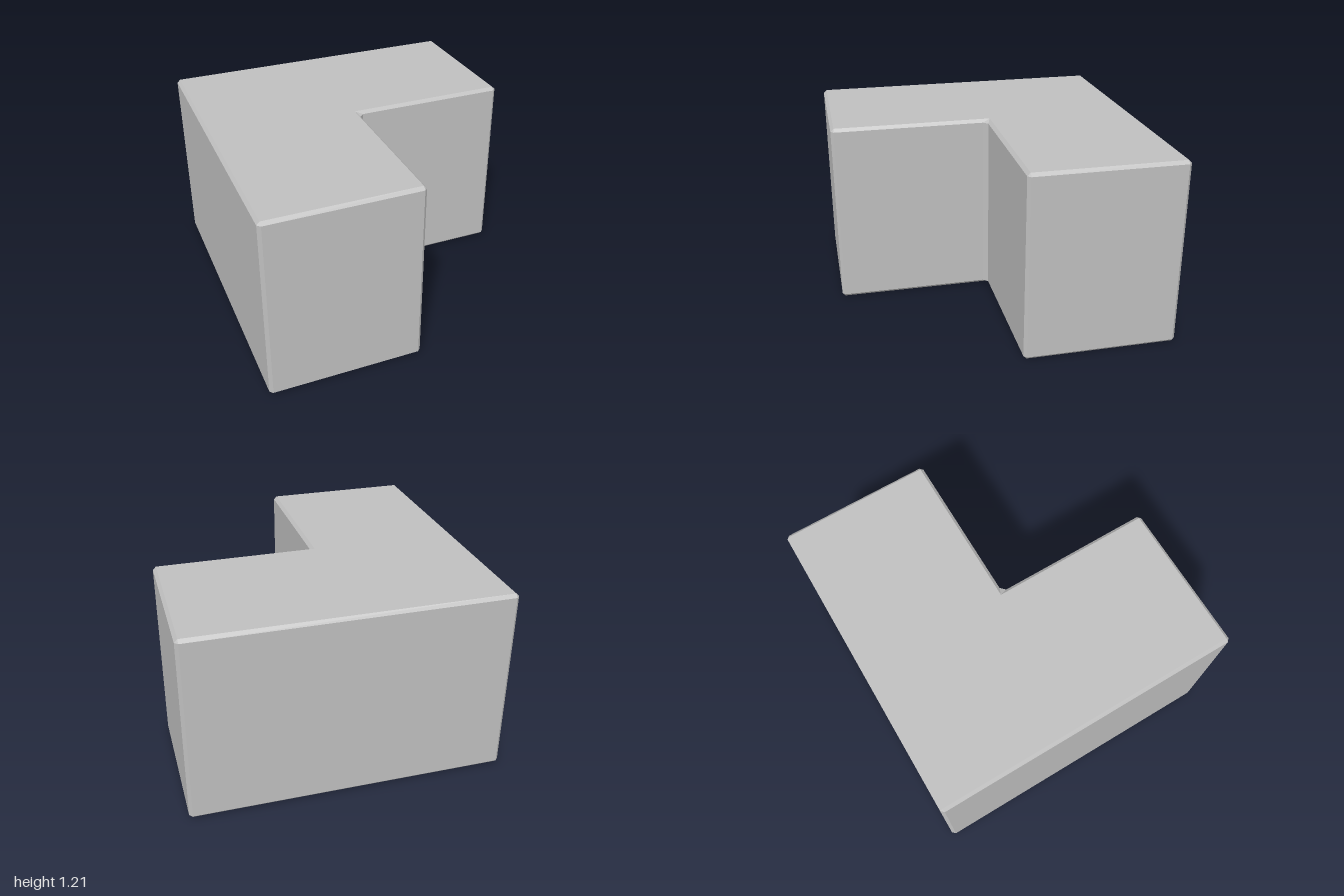
import * as THREE from 'three';

const HEIGHT = 1.21, BEVEL = 0.02, CEILING = 1.1;

// L-shaped outline running counterclockwise seen from above, as [x, z]
const outline = (min, notch, max) => [
  [min, min], [min, max], [notch, max], [notch, notch], [max, notch], [max, min],
];

// Outline with each corner cut into two points
function cutCorners(points) {
  const n = points.length;
  return points.flatMap((p, i) => {
    const cut = i === 3 ? 0.03 : BEVEL; // the inner corner is filled a little wider
    return [points[(i + n - 1) % n], points[(i + 1) % n]].map((q) => {
      const length = Math.hypot(q[0] - p[0], q[1] - p[1]);
      return [0, 1].map((k) => p[k] + ((q[k] - p[k]) * cut) / length);
    });
  });
}

// Faceted skin joining rings of equal point count
function skin(rings) {
  const pos = [];
  const tri = (...corners) => {
    const [a, b, c] = corners.map((v) => new THREE.Vector3(...v));
    if (new THREE.Triangle(a, b, c).getArea() > 1e-8) corners.forEach((v) => pos.push(...v));
  };
  for (let r = 0; r + 1 < rings.length; r++) {
    const [lo, hi] = [rings[r], rings[r + 1]].map(({ points, y }) => points.map(([x, z]) => [x, y, z]));
    lo.forEach((a, i) => {
      const j = (i + 1) % lo.length;
      tri(a, lo[j], hi[j]);
      tri(a, hi[j], hi[i]);
    });
  }
  const geometry = new THREE.BufferGeometry();
  geometry.setAttribute('position', new THREE.Float32BufferAttribute(pos, 3));
  geometry.computeVertexNormals();
  return geometry;
}

// Flat L-shaped sheet facing up (side 1) or down (side -1)
function sheet(points, y, side) {
  const shape = new THREE.Shape(points.map(([x, z]) => new THREE.Vector2(x, -side * z)));
  return new THREE.ShapeGeometry(shape).rotateX((-side * Math.PI) / 2).translate(0, y, 0);
}

export function createModel() {
  const group = new THREE.Group();
  group.name = 'cornerBlock';
  const grey = new THREE.MeshStandardMaterial({ color: 0xbfbfbf });
  grey.name = 'grey';

  const add = (name, geometry) => {
    const mesh = new THREE.Mesh(geometry, grey);
    mesh.name = name;
    group.add(mesh);
  };

  const wall = cutCorners(outline(-1, -0.02, 1));
  const cap = outline(-0.98, -0.04, 0.98);
  const cavity = outline(-0.85, -0.16, 0.845);
  const twice = (points) => points.flatMap((p) => [p, p]);

  // Outer walls with bevelled edges
  add('outerWalls', skin([
    { points: twice(cap), y: 0 },
    { points: wall, y: BEVEL },
    { points: wall, y: HEIGHT - BEVEL },
    { points: twice(cap), y: HEIGHT },
  ]));
  add('topFace', sheet(cap, HEIGHT, 1));

  // Hollow underside
  add('bottomRim', skin([{ points: cavity, y: 0 }, { points: cap, y: 0 }]));
  add('cavityWalls', skin([{ points: cavity, y: CEILING }, { points: cavity, y: 0 }]));
  add('cavityCeiling', sheet(cavity, CEILING, -1));

  return group;
}
